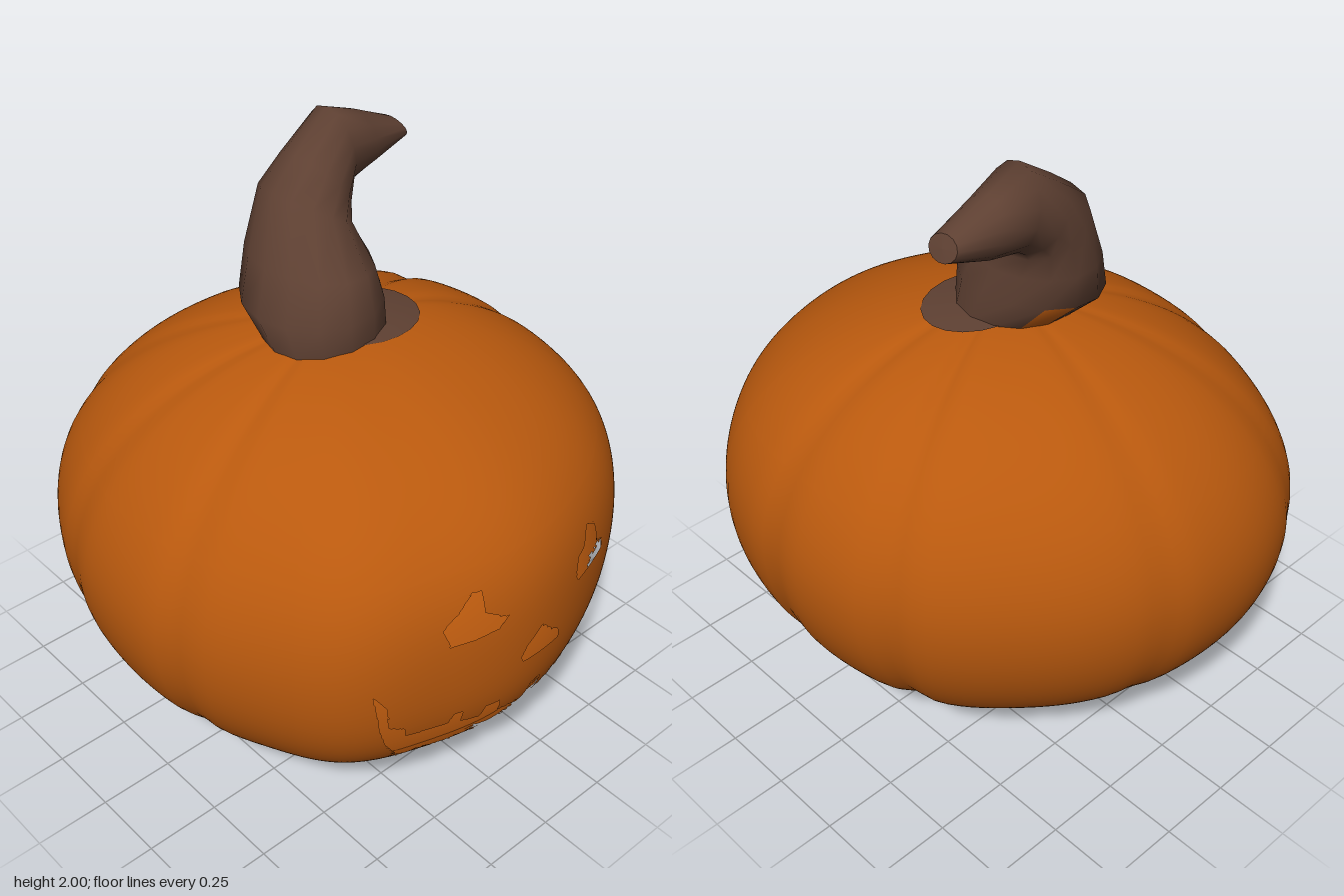
import * as THREE from 'three';

const orange = new THREE.MeshStandardMaterial({ color: 0xb9590e, side: THREE.DoubleSide });
orange.name = 'pumpkin orange';
const brown = new THREE.MeshStandardMaterial({ color: 0x5e4032, side: THREE.DoubleSide });
brown.name = 'stem brown';

// Carved outlines seen from the front: x, y pairs in hundredths of a unit
const outline = (...n) => Array.from({ length: n.length / 2 }, (_, i) => [n[2 * i] / 100, n[2 * i + 1] / 100]);
const mouth = outline(
  -52, 71, -48, 65, -47, 56, -42, 54, -41, 50, -28, 50, -27, 54, -24, 54, -24, 49, -17, 47, -16, 52, -11, 52,
  -10, 46, 1, 44, 2, 52, 6, 52, 6, 44, 21, 47, 22, 50, 26, 50, 26, 47, 41, 48, 42, 55, 49, 55, 50, 59, 56, 61,
  56, 67, 61, 68, 61, 75, 66, 76, 64, 61, 62, 51, 57, 48, 56, 44, 48, 43, 47, 37, 42, 37, 41, 41, 25, 39,
  24, 35, 19, 35, 18, 39, 11, 35, 10, 30, 6, 29, 6, 36, -6, 35, -7, 29, -10, 29, -10, 34, -22, 35, -22, 31,
  -26, 31, -26, 35, -34, 36, -35, 33, -40, 35, -40, 38, -46, 47, -49, 55, -51, 65);
const rightEye = outline(-32, 89, -27, 93, -22, 98, -19, 98, -19, 91, -12, 87, -15, 84, -23, 83, -30, 83);
const leftEye = outline(19, 84, 20, 90, 24, 91, 27, 97, 32, 94, 33, 87, 37, 85, 37, 82, 20, 82);
const nose = outline(-6, 68, -4, 72, 2, 77, 7, 72, 10, 70, 11, 66, -5, 66);
const holes = [mouth, rightEye, leftEye, nose];

function inside(poly, x, y) {
  let hit = false;
  poly.forEach(([ax, ay], i) => {
    const [bx, by] = poly[(i + 1) % poly.length];
    if ((ay > y) !== (by > y) && x < ax + ((y - ay) / (by - ay)) * (bx - ax)) hit = !hit;
  });
  return hit;
}

// Nearest point of any carved edge within the given reach
function nearestEdge(x, y, reach) {
  let best = null;
  for (const poly of holes) poly.forEach(([ax, ay], i) => {
    const [bx, by] = poly[(i + 1) % poly.length];
    const dx = bx - ax, dy = by - ay;
    const t = THREE.MathUtils.clamp(((x - ax) * dx + (y - ay) * dy) / (dx * dx + dy * dy), 0, 1);
    const px = ax + t * dx, py = ay + t * dy, d = Math.hypot(px - x, py - y);
    if (d < reach) { reach = d; best = [px, py]; }
  });
  return best;
}

// Closed rings of points joined into a smooth skin
function skin(rings) {
  const n = rings[0].length, index = [];
  for (let j = 0; j < rings.length - 1; j++) for (let i = 0; i < n; i++) {
    const a = j * n + i, b = j * n + (i + 1) % n;
    index.push(a, b, b + n, a, b + n, a + n);
  }
  const g = new THREE.BufferGeometry();
  g.setAttribute('position', new THREE.Float32BufferAttribute(rings.flat(2), 3));
  g.setIndex(index);
  g.computeVertexNormals();
  return g;
}

// Evenly spaced values through several [end, steps] spans
function spans(start, ...parts) {
  const out = [start];
  for (const [end, steps] of parts) {
    const from = out[out.length - 1];
    for (let i = 1; i <= steps; i++) out.push(from + ((end - from) * i) / steps);
  }
  return out;
}

// Radius of the body every 20 degrees, from the front towards +x
const radii = [0.893, 0.89, 0.90, 0.905, 0.88, 0.87, 0.86, 0.84, 0.858, 0.892, 0.93, 0.935, 0.90, 0.877, 0.87, 0.87, 0.905, 0.885];
// Grooves: angle, depth
const grooves = [[82, 0.014], [112, 0.024], [170, 0.009], [213, 0.009], [248, 0.012], [284, 0.016]];

function radiusAt(deg) {
  const s = (deg + 360) / 20, i = Math.floor(s), t = s - i;
  const r = k => radii[(i + k + 17) % 18];
  const [a, b, c, d] = [r(0), r(1), r(2), r(3)];
  return b + 0.5 * t * (c - a + t * (2 * a - 5 * b + 4 * c - d + t * (3 * (b - c) + d - a)));
}

function bodyPoint(deg, lat) {
  let dent = 0;
  for (const [g, depth] of grooves) {
    const d = ((deg - g + 540) % 360) - 180;
    dent += depth * Math.exp(-((d / 4) ** 2));
  }
  const a = THREE.MathUtils.degToRad(deg), cos = Math.cos(lat), sin = Math.sin(lat);
  const k = 1 - dent * Math.min(1, 2 * cos);
  // The face side is fuller above and below the middle
  const fuller = 1 + 0.3 * sin ** 2 * cos ** 4 * Math.max(0, Math.cos(a)) ** 2;
  const r = radiusAt(deg) * cos * k * fuller;
  const x = r * Math.sin(a);
  return [x, 0.74 + sin * (lat > 0 ? 0.685 : 0.735) * k + 0.05 * x, r * Math.cos(a)];
}

function pumpkinShell() {
  const h = Math.PI / 2;
  const degs = spans(-50, [58, 160], [310, 84]).slice(0, -1);
  const lats = spans(-h, [-0.75, 24], [0.48, 120], [h, 30]);
  const g = skin(lats.map(lat => degs.map(deg => bodyPoint(deg, lat))));
  const p = g.attributes.position;

  // Pull the skin onto the carved edges, then drop the faces inside them
  for (let i = 0; i < p.count; i++) {
    if (p.getZ(i) < 0.3) continue;
    const e = nearestEdge(p.getX(i), p.getY(i), 0.0055);
    if (e) p.setXY(i, e[0], e[1]);
  }
  const old = g.index.array, kept = [];
  for (let f = 0; f < old.length; f += 3) {
    const t = [old[f], old[f + 1], old[f + 2]];
    const mid = fn => t.reduce((s, i) => s + fn(i), 0) / 3;
    const x = mid(i => p.getX(i)), y = mid(i => p.getY(i));
    if (mid(i => p.getZ(i)) > 0.3 && holes.some(o => inside(o, x, y))) continue;
    kept.push(...t);
  }
  g.setIndex(kept);
  return g;
}

// Stem sections: left edge x, y, right edge x, y, centre z, half depth
const stemSections = [
  [-0.23, 1.39, 0.17, 1.41, -0.02, 0.18],
  [-0.25, 1.49, 0.165, 1.52, -0.07, 0.24],
  [-0.20, 1.63, 0.145, 1.61, -0.095, 0.225],
  [-0.11, 1.82, 0.14, 1.68, -0.16, 0.16],
  [0.00, 1.90, 0.16, 1.71, -0.185, 0.135],
  [0.15, 2.00, 0.20, 1.74, -0.215, 0.105],
  [0.28, 1.95, 0.31, 1.765, -0.225, 0.085],
  [0.425, 1.885, 0.46, 1.815, -0.225, 0.055],
];

function stemGeometry() {
  const sides = 14;
  const rings = stemSections.map(([lx, ly, rx, ry, z, depth]) => Array.from({ length: sides }, (_, i) => {
    const a = (-i / sides) * Math.PI * 2, c = Math.cos(a) / 2;
    return [(lx + rx) / 2 + (rx - lx) * c, (ly + ry) / 2 + (ry - ly) * c, z + depth * Math.sin(a)];
  }));
  const side = skin(rings);
  // One face under the overhang at the back is orange
  side.addGroup(0, 12, 0);
  side.addGroup(12, 6, 1);
  side.addGroup(18, side.index.count - 18, 0);
  return { side, tip: skin([rings.at(-1), rings.at(-1).map(() => [0.445, 1.85, -0.225])]) };
}

// Thin scar lying on the curved top beside the stem
function scarGeometry() {
  return skin([1, 0.75, 0.5, 0.25, 0].map(s => Array.from({ length: 20 }, (_, i) => {
    const a = (i / 20) * Math.PI * 2;
    const x = 0.08 + 0.19 * s * Math.sin(a), z = 0.03 + 0.16 * s * Math.cos(a);
    return [x, 0.744 + 0.685 * Math.sqrt(1 - (x * x + z * z) / 0.78) + 0.05 * x, z];
  })));
}

export function createModel() {
  const model = new THREE.Group();
  model.name = 'carvedPumpkin';
  const add = (name, geometry, material) => {
    const m = new THREE.Mesh(geometry, material);
    m.name = name;
    model.add(m);
  };
  const stem = stemGeometry();
  add('pumpkinShell', pumpkinShell(), orange);
  add('stem', stem.side, [brown, orange]);
  add('stemTip', stem.tip, brown);
  add('stemScar', scarGeometry(), brown);
  return model;
}
